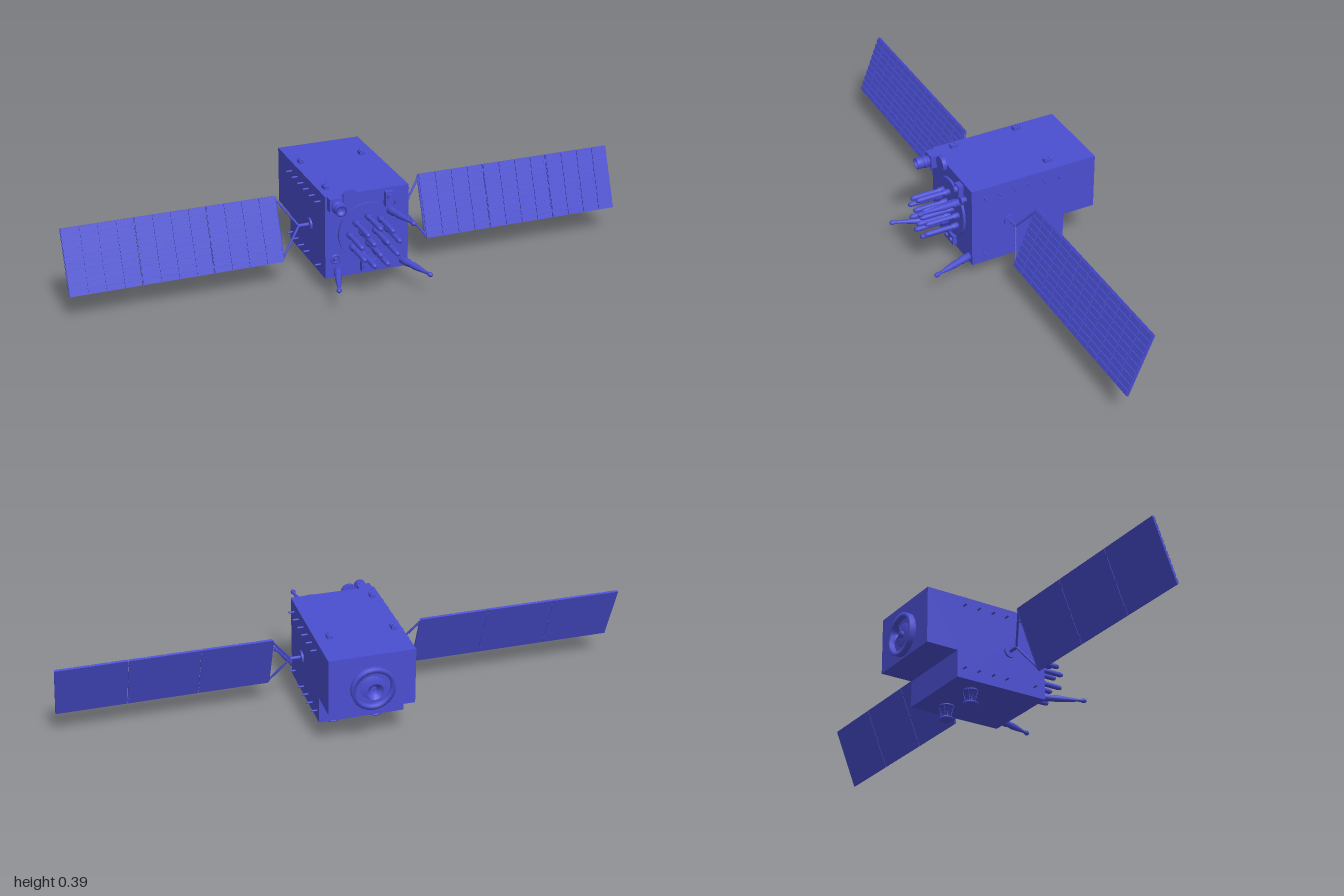
import * as THREE from 'three';

const blue = new THREE.MeshStandardMaterial({ color: 0x4a4ed0, side: THREE.DoubleSide });
blue.name = 'satellite blue';

function add(parent, name, geo, x = 0, y = 0, z = 0) {
  const m = new THREE.Mesh(geo, blue);
  m.name = name;
  m.position.set(x, y, z);
  parent.add(m);
  return m;
}
const box = (w, h, d) => new THREE.BoxGeometry(w, h, d);
// cylinder along z; r0 is the radius at the +z end
const cylZ = (r0, r1, len, n = 24) => new THREE.CylinderGeometry(r0, r1, len, n).rotateX(Math.PI / 2);
const cylX = (r, len, n = 10) => new THREE.CylinderGeometry(r, r, len, n).rotateZ(Math.PI / 2);
// turned profile of [radius, z] points, axis along +z
const latheZ = (pts, n = 20) =>
  new THREE.LatheGeometry(pts.map(([r, z]) => new THREE.Vector2(r, z)), n).rotateX(Math.PI / 2);

// straight round bar between two points
function rod(parent, name, a, b, r, n = 6) {
  const A = new THREE.Vector3(...a), B = new THREE.Vector3(...b);
  const m = add(parent, name, new THREE.CylinderGeometry(r, r, A.distanceTo(B), n));
  m.position.copy(A).add(B).multiplyScalar(0.5);
  m.quaternion.setFromUnitVectors(new THREE.Vector3(0, 1, 0), B.sub(A).normalize());
  return m;
}

// stepped bus, drawn as a side profile and extruded across x
function buildBody(g) {
  const s = new THREE.Shape();
  [[0.163, 0.055], [0.163, 0.355], [-0.305, 0.355], [-0.305, 0.152], [-0.187, 0.152], [-0.187, 0.055]]
    .forEach(([z, y], i) => (i ? s.lineTo(-z, y) : s.moveTo(-z, y)));
  const geo = new THREE.ExtrudeGeometry(s, { depth: 0.3, bevelEnabled: false });
  geo.translate(0, 0, -0.15).rotateY(Math.PI / 2);
  add(g, 'body', geo);

  // pegs along both flanks
  for (const side of [-1, 1])
    for (const y of [0.09, 0.322])
      for (const z of [0.118, 0.062, 0.004, -0.05, -0.107, -0.163]) {
        if (y < 0.2 && z === 0.062) continue;
        add(g, 'sidePeg', cylX(0.0035, 0.022), side * 0.16, y, z);
      }

  // small roof units with knobs and a whip
  for (const [x, z] of [[-0.122, 0.094], [-0.122, -0.148], [0.102, -0.148]]) {
    add(g, 'roofUnit', box(0.018, 0.011, 0.028), x, 0.36, z);
    for (const d of [-0.008, 0.008]) add(g, 'roofKnob', new THREE.SphereGeometry(0.005, 10, 8), x, 0.367, z + d);
    const top = z > 0 ? 0.388 : 0.376;
    rod(g, 'roofWhip', [x, 0.36, z + 0.004], [x, top, z + 0.004], 0.001);
  }
}

// engine ring and bell on the rear face
function buildEngine(g) {
  const e = new THREE.Group();
  e.name = 'engine';
  e.position.set(0, 0.236, -0.305);
  e.rotation.y = Math.PI;
  g.add(e);
  add(e, 'adapterRing', latheZ([[0.076, 0], [0.076, 0.02], [0.062, 0.02], [0.062, 0.001]], 40));
  add(e, 'adapterFloor', new THREE.CircleGeometry(0.062, 32), 0, 0, 0.002);
  add(e, 'engineMount', latheZ([[0.042, 0], [0.042, 0.006], [0.018, 0.008], [0, 0.008]], 32));
  add(e, 'engineBell', latheZ([[0.012, 0.004], [0.012, 0.017], [0.02, 0.026], [0.029, 0.036]], 28));
}

// array of rod antennas on a round plate
function buildRodArray(g) {
  add(g, 'arrayPlate', cylZ(0.104, 0.104, 0.009, 48), 0, 0.21, 0.1675);
  const prof = [[0, 0], [0.011, 0], [0.011, 0.022], [0.007, 0.026], [0.009, 0.045], [0.009, 0.115], [0.006, 0.125], [0, 0.125]];
  const geo = latheZ(prof, 14);
  for (const [n, r, phase] of [[3, 0.028, 0.5], [9, 0.068, 0.2]])
    for (let i = 0; i < n; i++) {
      const a = phase + (i / n) * Math.PI * 2;
      add(g, 'rodAntenna', geo, r * Math.cos(a), 0.2 + r * Math.sin(a), 0.17);
    }
}

// long splayed antennas with bulbous tips
function buildHorns(g) {
  const list = [
    [[-0.105, 0.082, 0.163], [-0.163, 0.085, 0.328]],
    [[0.128, 0.08, 0.163], [0.175, 0.079, 0.315]],
    [[0.078, 0.275, 0.163], [0.1, 0.289, 0.338]],
  ];
  for (const [a, b] of list) {
    const A = new THREE.Vector3(...a), d = new THREE.Vector3(...b).sub(A), L = d.length();
    const m = add(g, 'hornAntenna', latheZ([[0, -0.01], [0.013, 0], [0.014, 0.035], [0.011, 0.045], [0.012, 0.07],
      [0.009, 0.1], [0.005, L - 0.03], [0.006, L - 0.02], [0.009, L - 0.011], [0.006, L - 0.003], [0, L]], 16));
    m.position.copy(A);
    m.quaternion.setFromUnitVectors(new THREE.Vector3(0, 0, 1), d.normalize());
  }
}

// instruments around the front face
function buildInstruments(g) {
  add(g, 'sensorBase', box(0.046, 0.046, 0.03), -0.12, 0.332, 0.177);
  add(g, 'sensorBarrel', latheZ([[0.018, 0], [0.018, 0.02], [0.022, 0.022], [0.022, 0.03], [0.018, 0.031],
    [0.018, 0.036], [0.02, 0.037], [0.02, 0.058], [0.015, 0.058], [0.015, 0.045], [0, 0.045]], 24), -0.12, 0.33, 0.18);
  add(g, 'sensorDisc', cylZ(0.028, 0.028, 0.014, 32), -0.062, 0.344, 0.17);
  add(g, 'trackerBox', box(0.03, 0.052, 0.02), 0.075, 0.32, 0.172);
  add(g, 'trackerLens', cylZ(0.011, 0.011, 0.018, 16), 0.075, 0.33, 0.185);
  add(g, 'smallHorn', cylZ(0.012, 0.009, 0.022, 18), 0.105, 0.3, 0.172);
  add(g, 'roundSensor', new THREE.TorusGeometry(0.014, 0.004, 8, 24), -0.115, 0.125, 0.168);
  add(g, 'roundSensorCore', cylZ(0.008, 0.01, 0.016, 18), -0.115, 0.125, 0.17);
  add(g, 'lowerBox', box(0.056, 0.036, 0.016), 0.004, 0.084, 0.17);
  for (const x of [-0.012, 0.02]) add(g, 'lowerLens', cylZ(0.008, 0.008, 0.01, 16), x, 0.084, 0.18);
}

// disc antennas hung on wire trusses under the body
function buildBellyAntenna(g, x) {
  const b = new THREE.Group();
  b.name = 'bellyAntenna';
  b.position.set(x, 0, -0.09);
  g.add(b);
  add(b, 'mountPlate', new THREE.CylinderGeometry(0.027, 0.027, 0.004, 24), 0, 0.053, 0);
  add(b, 'disc', new THREE.LatheGeometry([[0, 0], [0.02, 0], [0.027, 0.004], [0.027, 0.008], [0.02, 0.013], [0, 0.013]]
    .map(p => new THREE.Vector2(...p)), 24));
  const at = (i, t) => {
    const a = (i + 0.5) * Math.PI / 2, r = 0.016 + 0.01 * t;
    return [r * Math.cos(a), 0.012 + 0.04 * t, r * Math.sin(a)];
  };
  for (let i = 0; i < 4; i++) {
    rod(b, 'trussLeg', at(i, 0), at(i, 1), 0.001);
    rod(b, 'trussBrace', at(i, 0), at(i + 1, 0.5), 0.0007);
    rod(b, 'trussBrace', at(i + 1, 0), at(i, 0.5), 0.0007);
    for (const t of [0.5, 0.75]) rod(b, 'trussRing', at(i, t), at(i + 1, t), 0.0007);
  }
}

// tilted solar wing: three hinged slabs, raised cells and a V yoke
function buildWing(g, side) {
  const w = new THREE.Group();
  w.name = side > 0 ? 'leftWing' : 'rightWing';
  w.position.set(0, 0.198, 0.02);
  w.rotation.x = -0.38;
  g.add(w);
  const x0 = 0.262, span = 0.738, H = 0.226, n = 3, sw = span / n;
  const cell = box(sw / 4 - 0.005, H / 10 - 0.006, 0.005);
  for (let p = 0; p < n; p++) {
    const cx = x0 + sw * (p + 0.5);
    add(w, 'solarPanel', box(sw - 0.002, H, 0.006), side * cx, 0, 0);
    for (let c = 0; c < 4; c++)
      for (let r = 0; r < 10; r++)
        add(w, 'solarCell', cell, side * (cx + sw * ((c + 0.5) / 4 - 0.5)), H * ((r + 0.5) / 10 - 0.5), 0.005);
    if (p) for (const y of [-0.09, 0, 0.09]) add(w, 'hinge', box(0.012, 0.012, 0.008), side * (x0 + sw * p), y, 0);
  }
  add(w, 'driveHub', cylX(0.022, 0.008, 28), side * 0.153, 0, 0);
  rod(w, 'boom', [side * 0.15, 0, 0], [side * 0.195, 0, 0], 0.006, 10);
  for (const y of [-1, 1]) rod(w, 'yokeArm', [side * 0.192, 0, 0], [side * 0.265, y * 0.105, 0], 0.004, 8);
  rod(w, 'yokeBar', [side * 0.262, -0.108, 0], [side * 0.262, 0.108, 0], 0.004, 8);
}

export function createModel() {
  const g = new THREE.Group();
  g.name = 'satellite';
  buildBody(g);
  buildEngine(g);
  buildRodArray(g);
  buildHorns(g);
  buildInstruments(g);
  for (const s of [-1, 1]) {
    buildBellyAntenna(g, s * 0.077);
    buildWing(g, s);
  }
  return g;
}
